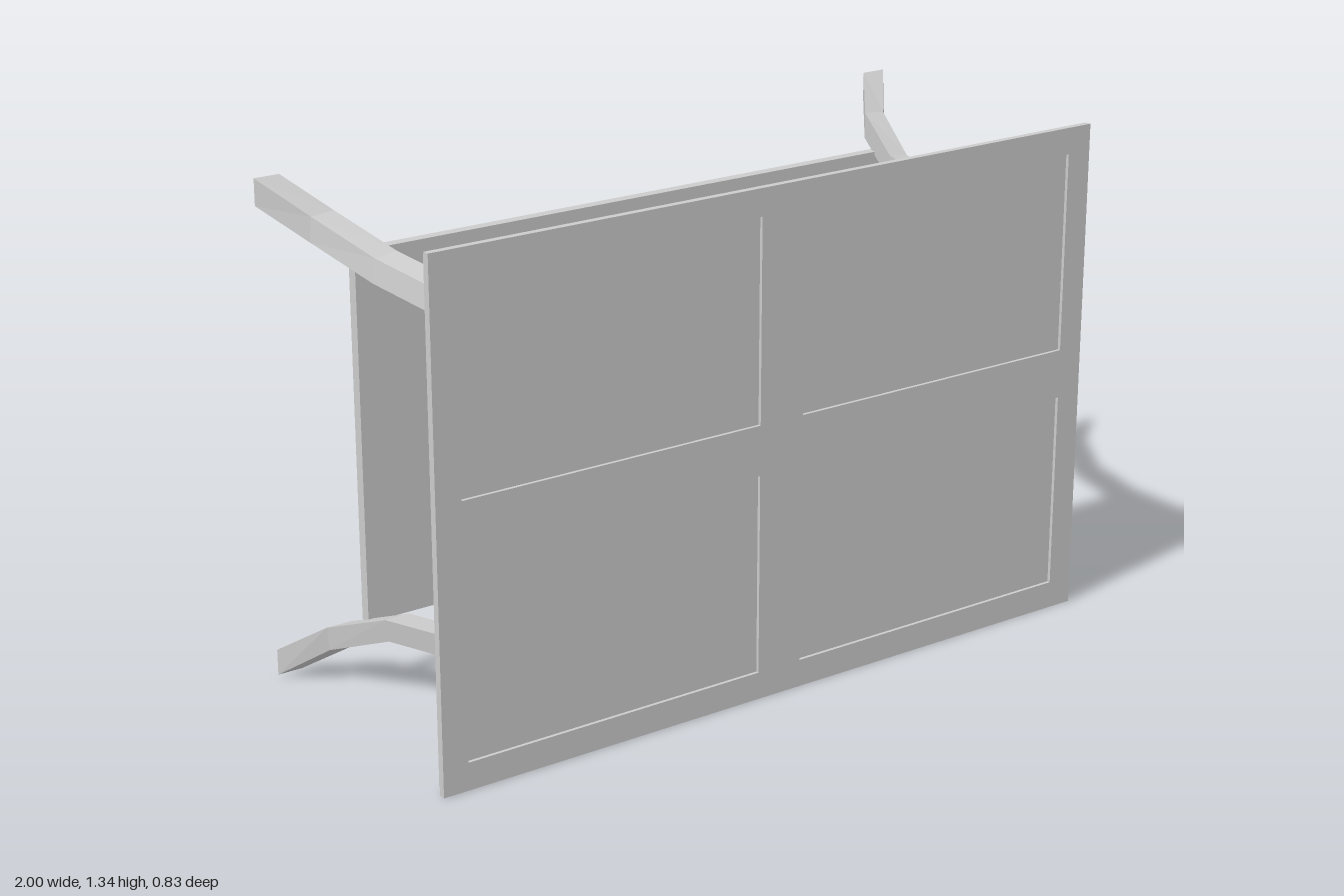
import * as THREE from 'three';

const MID = 0.67; // height of the model's centre line
const mat = new THREE.MeshStandardMaterial({ color: 0xcccccc, flatShading: true });

function add(parent, name, geo, x = 0, y = 0, z = 0) {
  const mesh = new THREE.Mesh(geo, mat);
  mesh.name = name;
  mesh.position.set(x, y, z);
  parent.add(mesh);
  return mesh;
}

function rect(Type, x0, y0, x1, y1) {
  return new Type([[x0, y0], [x1, y0], [x1, y1], [x0, y1]].map(p => new THREE.Vector2(...p)));
}

// Flat plate with rectangular openings
function frame(outer, holes, depth) {
  const shape = rect(THREE.Shape, ...outer);
  for (const h of holes) shape.holes.push(rect(THREE.Path, ...h));
  return new THREE.ExtrudeGeometry(shape, { depth, bevelEnabled: false });
}

// Curved leg: square sections [z, outer x, outer y from centre, corner pull-in]
const LEG = [
  [0.376, 0.81, 0.485, 0.009],
  [0.085, 0.81, 0.485, 0.009],
  [-0.115, 0.84, 0.51, 0.009],
  [-0.3, 0.905, 0.58, 0.006],
  [-0.413, 0.99, 0.66, 0],
];
function legGeometry(sx, sy) {
  const w = 0.07;
  const rings = LEG.map(([z, x, y, c]) => {
    const ring = [[x - w, y - w], [x, y - w], [x - c, y - c], [x - w, y]]
      .map(([px, py]) => [px * sx, py * sy, z]);
    return sx * sy < 0 ? ring.reverse() : ring;
  });
  const pos = [];
  const quad = (a, b, c, d) => pos.push(...a, ...b, ...c, ...a, ...c, ...d);
  for (let k = 0; k < rings.length - 1; k++) {
    for (let i = 0; i < 4; i++) {
      const j = (i + 1) % 4;
      quad(rings[k][i], rings[k + 1][i], rings[k + 1][j], rings[k][j]);
    }
  }
  quad(...rings[0]);
  quad(...[...rings[rings.length - 1]].reverse());
  const geo = new THREE.BufferGeometry();
  geo.setAttribute('position', new THREE.Float32BufferAttribute(pos, 3));
  geo.computeVertexNormals();
  return geo;
}

// Hexagonal knob standing along +y
function knob() {
  const g = new THREE.Group();
  g.name = 'drawerKnob';
  add(g, 'knobBase', new THREE.CylinderGeometry(0.034, 0.04, 0.014, 6), 0, 0.007, 0);
  add(g, 'knobNeck', new THREE.CylinderGeometry(0.014, 0.014, 0.03, 6), 0, 0.022, 0);
  add(g, 'knobHead', new THREE.CylinderGeometry(0.021, 0.025, 0.017, 6), 0, 0.041, 0);
  return g;
}

// Recessed pair of drawer fronts, facing +y
function drawerFront() {
  const g = new THREE.Group();
  g.name = 'drawerFront';
  const plate = add(g, 'drawerFrame',
    frame([-0.745, 0.085, 0.745, 0.376], [[-0.687, 0.135, 0.687, 0.308]], 0.022), 0, 0.48, 0);
  plate.rotation.x = Math.PI / 2;
  add(g, 'drawerDivider', new THREE.BoxGeometry(0.008, 0.016, 0.173), 0, 0.466, 0.2215);
  for (const x of [-0.465, 0.465]) {
    const k = knob();
    k.position.set(x, 0.458, 0.225);
    g.add(k);
  }
  return g;
}

export function createModel() {
  const model = new THREE.Group();
  model.name = 'table';

  // Table top: framed face with four shallow panels over a smaller backing
  const panels = [];
  for (const x of [-0.93, 0.065])
    for (const y of [0.073, 0.737]) panels.push([x, y, x + 0.863, y + 0.532]);
  add(model, 'topFrame', frame([-1, 0, 1, 1.34], panels, 0.009), 0, 0, 0.404);
  add(model, 'topPanel', new THREE.BoxGeometry(2, 1.34, 0.009), 0, MID, 0.3995);
  add(model, 'topBacking', new THREE.BoxGeometry(1.98, 1.32, 0.02), 0, MID, 0.386);

  // Apron box with drawers on both long sides
  add(model, 'apron', new THREE.BoxGeometry(1.59, 0.916, 0.291), 0, MID, 0.2305);
  for (const turn of [0, Math.PI]) {
    const front = drawerFront();
    front.position.y = MID;
    front.rotation.z = turn;
    model.add(front);
  }

  // Lower shelf between the legs
  add(model, 'shelf', new THREE.BoxGeometry(1.65, 0.98, 0.03), 0, MID, -0.24);

  // Four splayed legs
  for (const sx of [-1, 1])
    for (const sy of [-1, 1]) add(model, 'leg', legGeometry(sx, sy), 0, MID, 0);

  return model;
}
